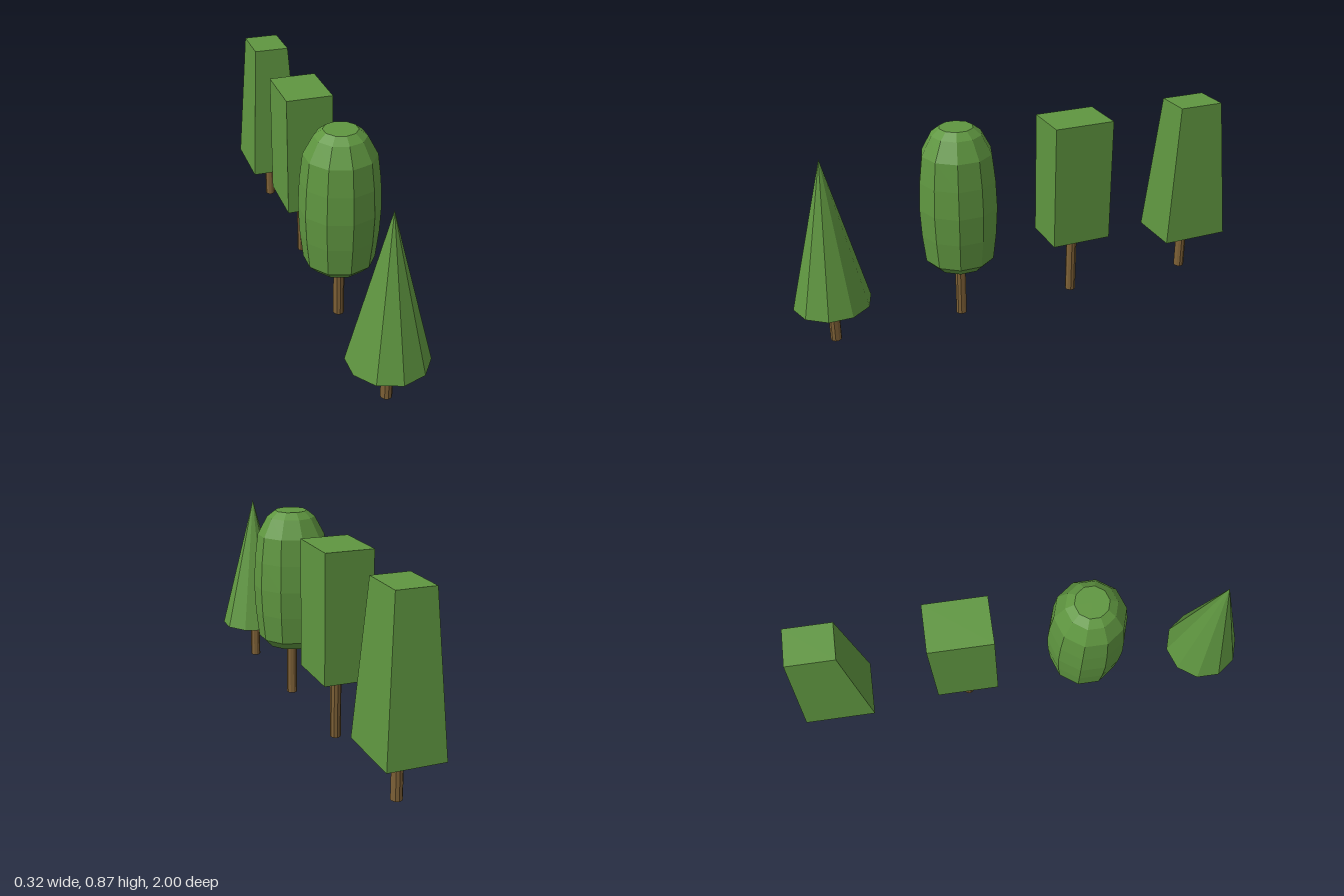
import * as THREE from 'three';

const leaf = new THREE.MeshStandardMaterial({ color: 0x5f9640, flatShading: true });
const bark = new THREE.MeshStandardMaterial({ color: 0x7d6036, flatShading: true });
const SIDES = 10;

// Box standing on y = 0 whose top is scaled in x and z
function taperedBox(width, height, depth, topX = 1, topZ = 1) {
  const geo = new THREE.BoxGeometry(width, height, depth).translate(0, height / 2, 0);
  const p = geo.attributes.position;
  for (let i = 0; i < p.count; i++) {
    if (p.getY(i) > height / 2) p.setXYZ(i, p.getX(i) * topX, p.getY(i), p.getZ(i) * topZ);
  }
  geo.computeVertexNormals();
  return geo;
}

// One tree: a trunk with a crown sitting at the given height
function tree(name, z, crownGeometry, crownBase) {
  const group = new THREE.Group();
  group.name = name;
  group.position.z = z;

  const trunkHeight = crownBase + 0.02;
  const trunk = new THREE.Mesh(
    new THREE.CylinderGeometry(0.0235, 0.0235, trunkHeight, SIDES).translate(0, trunkHeight / 2, 0), bark);
  trunk.name = 'trunk';

  const crown = new THREE.Mesh(crownGeometry, leaf);
  crown.name = 'crown';
  crown.position.y = crownBase;

  group.add(trunk, crown);
  return group;
}

export function createModel() {
  const row = new THREE.Group();
  row.name = 'treeRow';

  // Pointed crown
  const cone = new THREE.ConeGeometry(0.163, 0.64, SIDES).translate(0, 0.32, 0);

  // Rounded crown with flat ends: radius, height above the crown base
  const profile = [
    [0, 0], [0.112, 0], [0.15, 0.038], [0.164, 0.16], [0.17, 0.28], [0.164, 0.4],
    [0.15, 0.515], [0.107, 0.595], [0.0715, 0.623], [0, 0.623],
  ].map(([r, y]) => new THREE.Vector2(r, y));
  const oval = new THREE.LatheGeometry(profile, SIDES);

  row.add(
    tree('coneTree', 0.838, cone, 0.18),
    tree('ovalTree', 0.275, oval, 0.25),
    tree('boxTree', -0.26, taperedBox(0.208, 0.547, 0.268), 0.288),
    tree('taperedTree', -0.846, taperedBox(0.238, 0.635, 0.308, 0.67, 0.66), 0.2),
  );
  return row;
}
